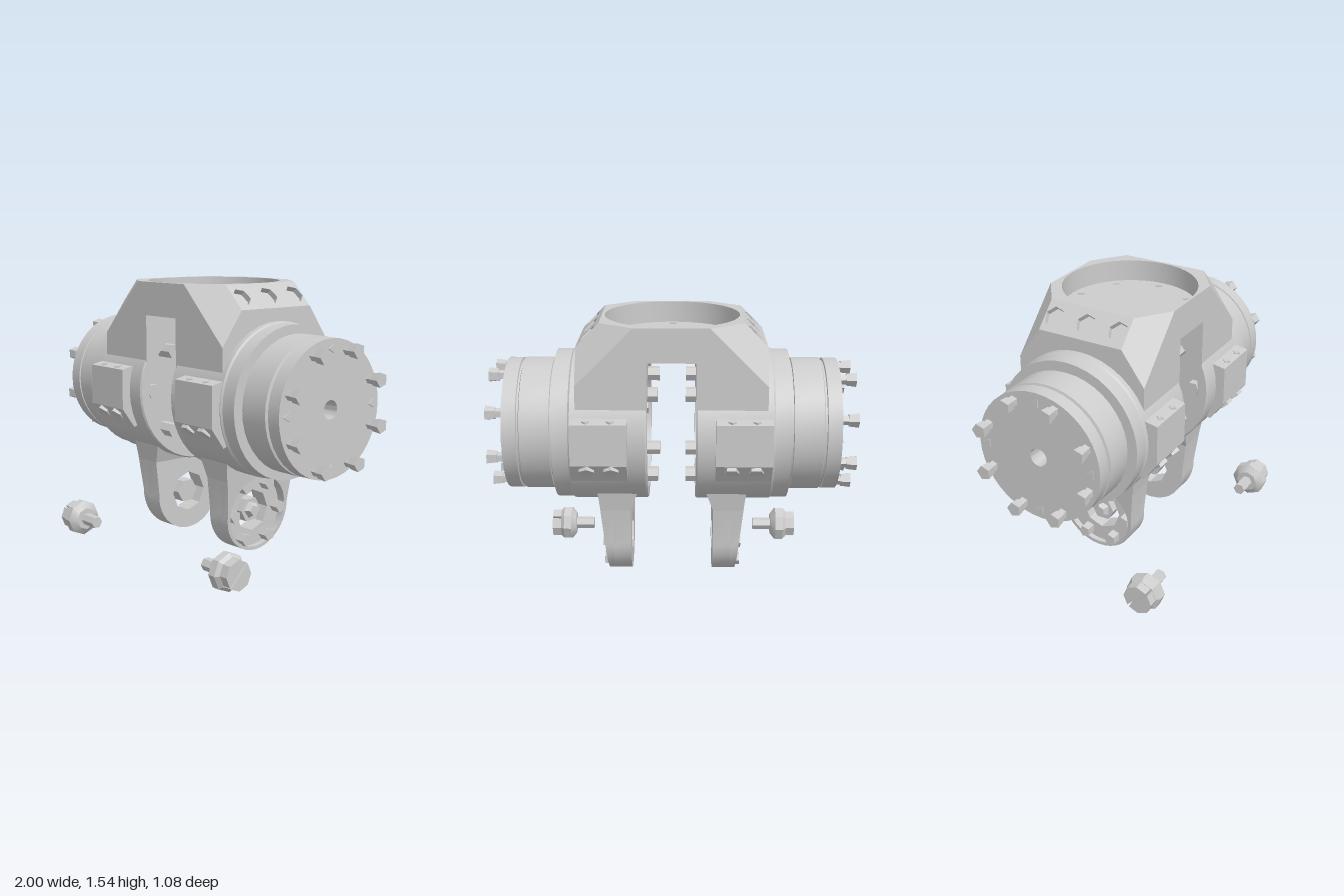
import * as THREE from 'three';
import { mergeGeometries, toCreasedNormals } from 'three/addons/utils/BufferGeometryUtils.js';

const V = (x, y, z) => new THREE.Vector3(x, y, z);
const AXIS_Y = 0.93;

export function createModel() {
  const model = new THREE.Group();
  model.name = 'hingeAssembly';
  const grey = new THREE.MeshStandardMaterial({ color: 0xcccccc });
  grey.name = 'machinedGrey';

  const add = (parent, name, geo, x = 0, y = 0, z = 0) => {
    const mesh = new THREE.Mesh(toCreasedNormals(geo, 0.5), grey);
    mesh.name = name;
    mesh.position.set(x, y, z);
    parent.add(mesh);
    return mesh;
  };

  // Prism or cone lying along +x, starting at x = 0
  const rod = (r, len, sides = 6, rEnd = r) =>
    new THREE.CylinderGeometry(rEnd, r, len, sides).translate(0, len / 2, 0).rotateZ(-Math.PI / 2);

  // Revolved profile of [radius, x] points about the x axis
  const turned = (pts, sides = 40) =>
    new THREE.LatheGeometry(pts.map(p => new THREE.Vector2(...p)), sides).rotateZ(-Math.PI / 2);

  // Outline of [z, y] points extruded along +x
  const extrudeX = (pts, depth, hole) => {
    const shape = new THREE.Shape(pts.map(([z, y]) => new THREE.Vector2(-z, y)));
    if (hole) shape.holes.push(new THREE.Path(hole.map(([z, y]) => new THREE.Vector2(-z, y))));
    return new THREE.ExtrudeGeometry(shape, { depth, bevelEnabled: false }).rotateY(Math.PI / 2);
  };

  const arc = (cz, cy, r, a0, a1, n) => Array.from({ length: n + 1 }, (_, i) => {
    const a = a0 + (a1 - a0) * i / n;
    return [cz + r * Math.cos(a), cy + r * Math.sin(a)];
  });

  // Flat panel facing n, with an optional sunken pocket {c, r, sides, depth}
  const panel = (pts, n, pocket) => {
    const q = new THREE.Quaternion().setFromUnitVectors(V(0, 0, 1), n.clone().normalize());
    const inv = q.clone().invert();
    const local = p => p.clone().applyQuaternion(inv);
    const flat = pts.map(local);
    const level = flat[0].z;
    const shape = new THREE.Shape(flat.map(p => new THREE.Vector2(p.x, p.y)));
    const parts = [];
    if (pocket) {
      const { c, r, sides, depth } = pocket;
      const o = local(c);
      shape.holes.push(new THREE.Path(Array.from({ length: sides }, (_, i) => {
        const a = i / sides * Math.PI * 2;
        return new THREE.Vector2(o.x + r * Math.sin(a), o.y - r * Math.cos(a));
      })));
      const profile = [[r, 0], [r, -depth], [0, -depth]].map(p => new THREE.Vector2(...p));
      parts.push(new THREE.LatheGeometry(profile, sides).rotateX(Math.PI / 2).translate(o.x, o.y, level));
    }
    parts.push(new THREE.ShapeGeometry(shape).translate(0, 0, level));
    return mergeGeometries(parts).applyQuaternion(q);
  };

  const core = new THREE.Group();
  core.name = 'body';
  core.position.z = -0.05;
  model.add(core);

  // Head top with round dish
  const topRing = [[0.385, 0.25], [0.2, 0.383], [-0.2, 0.383], [-0.385, 0.25],
    [-0.385, -0.25], [-0.2, -0.383], [0.2, -0.383], [0.385, -0.25]];
  add(core, 'headTop', panel(topRing.map(([x, z]) => V(x, 1.55, z)), V(0, 1, 0),
    { c: V(0, 1.55, 0), r: 0.37, sides: 40, depth: 0.12 }));
  for (let i = 0; i < 8; i++) {
    const a = i * Math.PI / 4;
    add(core, 'dishStud', new THREE.CylinderGeometry(0.022, 0.022, 0.008, 3),
      0.32 * Math.cos(a), 1.434, 0.32 * Math.sin(a));
  }

  // Each half is the other turned half a revolution
  for (const turn of [0, Math.PI]) {
    const half = new THREE.Group();
    half.name = turn ? 'rightHalf' : 'leftHalf';
    half.rotation.y = turn;
    core.add(half);

    // Head chamfer in three strips, each with a hex socket
    const strips = [-0.25, -0.0965, 0.0965, 0.25];
    [-0.193, 0, 0.193].forEach((z, i) => {
      const [a, b] = [strips[i], strips[i + 1]];
      add(half, 'headChamfer', panel(
        [V(0.51, 1.425, b), V(0.385, 1.55, b), V(0.385, 1.55, a), V(0.51, 1.425, a)], V(1, 1, 0),
        { c: V(0.4475, 1.4875, z), r: 0.056, sides: 6, depth: 0.03 }));
    });

    // Other head faces
    add(half, 'headSide', panel([V(0.51, 1.05, 0.383), V(0.51, 1.24, 0.383), V(0.51, 1.425, 0.25),
      V(0.51, 1.425, -0.25), V(0.51, 1.24, -0.383), V(0.51, 1.05, -0.383)], V(1, 0, 0)));
    for (const s of [1, -1]) {
      add(half, 'headCorner', panel([V(0.51, 1.425, 0.25 * s), V(0.385, 1.55, 0.25 * s),
        V(0.2, 1.55, 0.383 * s), V(0.51, 1.24, 0.383 * s)], V(0.133, 0.133, 0.185 * s)));
      add(half, 'headFace', panel([[0.13, 1.05], [0.51, 1.05], [0.51, 1.24], [0.2, 1.55], [0, 1.55],
        [0, 1.365], [0.13, 1.365]].map(([x, y]) => V(x, y, 0.383 * s)), V(0, 0, s)));
    }
    const wall = [[-0.383, 1.365], [0.383, 1.365], ...arc(0, AXIS_Y, 0.415, 0.396, Math.PI - 0.396, 16)];
    add(half, 'slotWall', panel(wall.map(([z, y]) => V(0.13, y, z)), V(-1, 0, 0)));
    add(half, 'slotCeiling', panel([V(0, 1.365, 0.383), V(0.13, 1.365, 0.383),
      V(0.13, 1.365, -0.383), V(0, 1.365, -0.383)], V(0, -1, 0)));

    // Barrel, collar and end flange with a through bore
    add(half, 'barrel', turned([[0.05, 0.19], [0.365, 0.19], [0.365, 0.13], [0.418, 0.13], [0.425, 0.14],
      [0.425, 0.54], [0.417, 0.55], [0.417, 0.637], [0.36, 0.637], [0.36, 0.652], [0.37, 0.655],
      [0.37, 0.815], [0.355, 0.82], [0.355, 0.83], [0.367, 0.833], [0.367, 0.91], [0.05, 0.91], [0.05, 0.19]]),
      0, AXIS_Y, 0);

    // Flange bolts outside, cover bolts inside
    for (let i = 0; i < 8; i++) {
      const a = (25 + i * 45) * Math.PI / 180;
      const y = AXIS_Y + 0.32 * Math.sin(a), z = -0.32 * Math.cos(a);
      add(half, 'flangeBoltShank', rod(0.028, 0.05, 5), 0.905, y, z);
      add(half, 'flangeBoltHead', rod(0.035, 0.055, 5, 0.042), 0.945, y, z);
      const b = i * Math.PI / 4;
      const long = i % 2;
      add(half, 'coverBolt', rod(0.042, long ? 0.12 : 0.05, 6), long ? 0.075 : 0.145,
        AXIS_Y + 0.32 * Math.sin(b), 0.32 * Math.cos(b));
      if (!long) add(half, 'flangePin', rod(0.028, 0.018, 3), 0.9,
        AXIS_Y + 0.315 * Math.sin(b), 0.315 * Math.cos(b));
    }

    // Bolted pads front and back
    for (const s of [1, -1]) {
      const outline = [[0.35, 1.075], [0.41, 1.07], [0.475, 1.057], [0.475, 0.83], [0.395, 0.72], [0.35, 0.74]];
      add(half, 'pad', extrudeX(outline.map(([z, y]) => [z * s, y]), 0.3), 0.235, 0, 0);
      for (const x of [0.32, 0.45]) {
        const bolt = add(half, 'padBolt', rod(0.042, 0.05, 5), x, 0.825, 0.425 * s);
        bolt.quaternion.setFromUnitVectors(V(1, 0, 0), V(0, -0.75, 0.66 * s).normalize());
        add(half, 'padStud', new THREE.CylinderGeometry(0.022, 0.022, 0.03, 4), x, 1.055, 0.445 * s);
      }
    }

    // Leg with eye, raised lip and neck
    const outline = [[0.255, 0.58], ...arc(0, 0.28, 0.225, 0.1, -Math.PI - 0.1, 20), [-0.255, 0.58]];
    const ringHole = (r, n) => arc(0, 0.28, r, 0, Math.PI * 2 * (n - 1) / n, n - 1);
    add(half, 'leg', extrudeX(outline, 0.1, ringHole(0.118, 8)), 0.23, 0, 0);
    const lip = extrudeX(outline, 0.03, ringHole(0.205, 28));
    const p = lip.attributes.position;
    for (let i = 0; i < p.count; i++) {
      if (p.getX(i) > 0.015) p.setX(i, 0.03 + Math.max(0, p.getY(i) - 0.1) * 0.1);
    }
    add(half, 'legLip', lip, 0.33, 0, 0);
    const neck = new THREE.BoxGeometry(1, 1, 1);
    const np = neck.attributes.position;
    for (let i = 0; i < np.count; i++) {
      const top = np.getY(i) > 0;
      const outer = np.getX(i) > 0;
      np.setXYZ(i, outer ? (top ? 0.412 : 0.395) : (top ? 0.19 : 0.23), top ? 0.6 : 0.49,
        Math.sign(np.getZ(i)) * (top ? 0.262 : 0.245));
    }
    add(half, 'legNeck', neck);
    for (let i = 0; i < 6; i++) {
      const a = i * Math.PI / 3;
      add(half, 'eyeBolt', rod(0.036, 0.06, 5), 0.328, 0.28 + 0.172 * Math.sin(a), 0.172 * Math.cos(a));
    }

    // Pivot hub in the eye
    add(half, 'pivotHub', rod(0.072, 0.08), 0.24, 0.28, 0);
    add(half, 'pivotTip', rod(0.05, 0.03, 5, 0.03), 0.32, 0.28, 0);
  }

  // Loose slotted bolts beside the legs
  for (const s of [1, -1]) {
    const bolt = new THREE.Group();
    bolt.name = s > 0 ? 'leftLooseBolt' : 'rightLooseBolt';
    bolt.position.set(0, 0.112, 0.435);
    bolt.rotation.y = s > 0 ? 0 : Math.PI;
    model.add(bolt);
    add(bolt, 'shank', rod(0.036, 0.13), 0.5);
    add(bolt, 'collar', rod(0.065, 0.03, 8, 0.105), 0.61);
    add(bolt, 'flange', rod(0.105, 0.045, 8), 0.64);
    add(bolt, 'flangeBevel', rod(0.105, 0.02, 8, 0.085), 0.685);
    for (const t of [0, Math.PI]) {
      const head = add(bolt, 'headHalf', extrudeX(arc(0, 0.006, 0.08, 0, Math.PI, 4), 0.06), 0.697);
      head.rotation.x = t + Math.PI / 4;
    }
  }
  return model;
}
